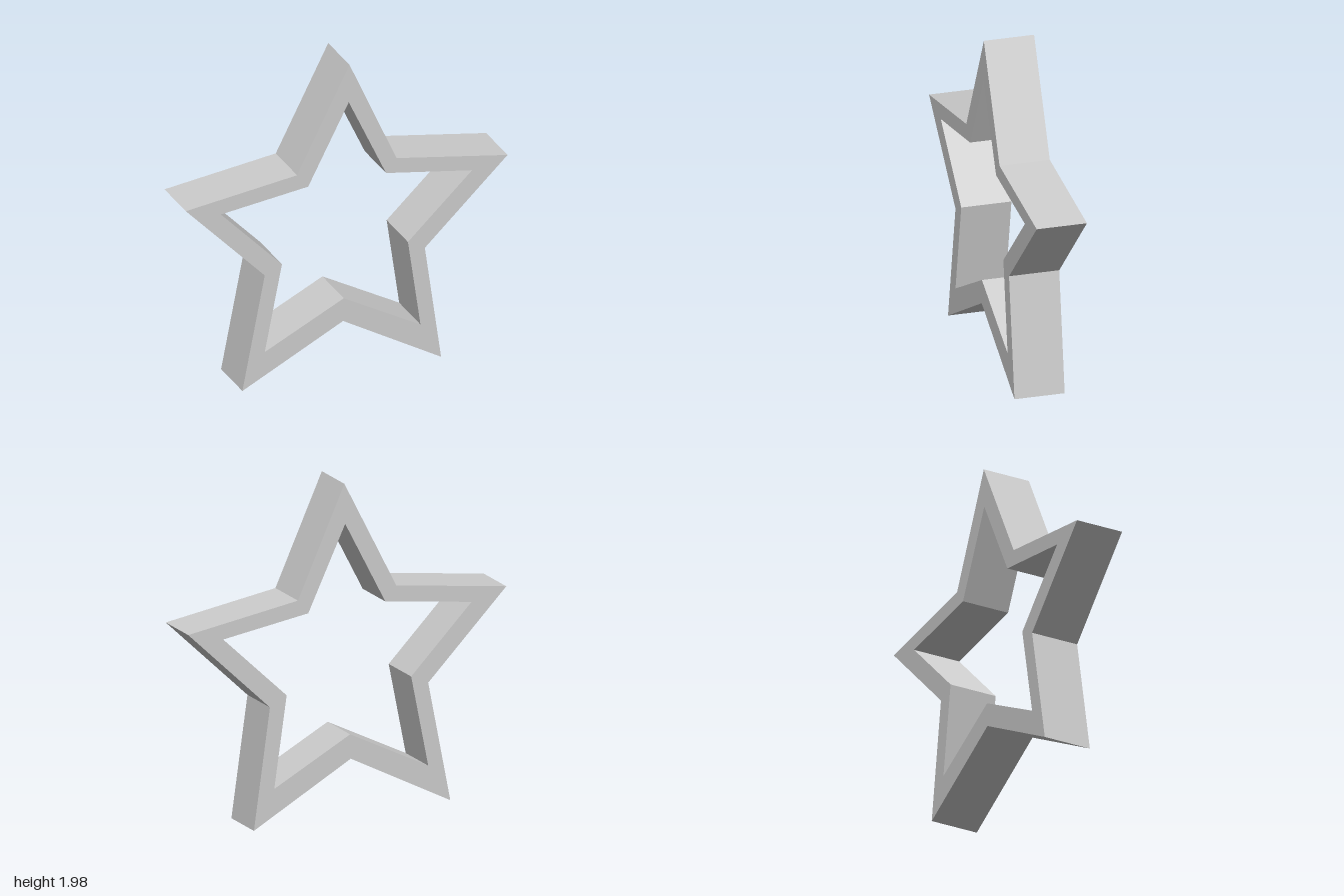
import * as THREE from 'three';

const DEPTH = 0.3;

// Outline runs anticlockwise and the opening clockwise, both from the top tip,
// alternating tip and notch.
const OUTER = [
  [0.018, 1.98], [-0.308, 1.343], [-1, 1.256], [-0.509, 0.745], [-0.648, 0.036],
  [-0.022, 0.354], [0.587, 0], [0.486, 0.716], [1, 1.203], [0.31, 1.325],
];
const INNER = [
  [0.013, 1.743], [0.245, 1.243], [0.78, 1.151], [0.381, 0.775], [0.459, 0.232],
  [-0.018, 0.498], [-0.509, 0.256], [-0.402, 0.794], [-0.782, 1.19], [-0.239, 1.256],
];

const toPoints = (corners) => corners.map(([x, y]) => new THREE.Vector2(x, y));

export function createModel() {
  const group = new THREE.Group();
  group.name = 'star';

  // Star outline with a star-shaped opening, extruded straight through
  const shape = new THREE.Shape(toPoints(OUTER));
  shape.holes.push(new THREE.Path(toPoints(INNER)));
  const geometry = new THREE.ExtrudeGeometry(shape, { depth: DEPTH, bevelEnabled: false });
  geometry.translate(0, 0, -DEPTH / 2);

  const material = new THREE.MeshStandardMaterial({ color: 0xcccccc, flatShading: true });
  const frame = new THREE.Mesh(geometry, material);
  frame.name = 'starFrame';
  group.add(frame);
  return group;
}
